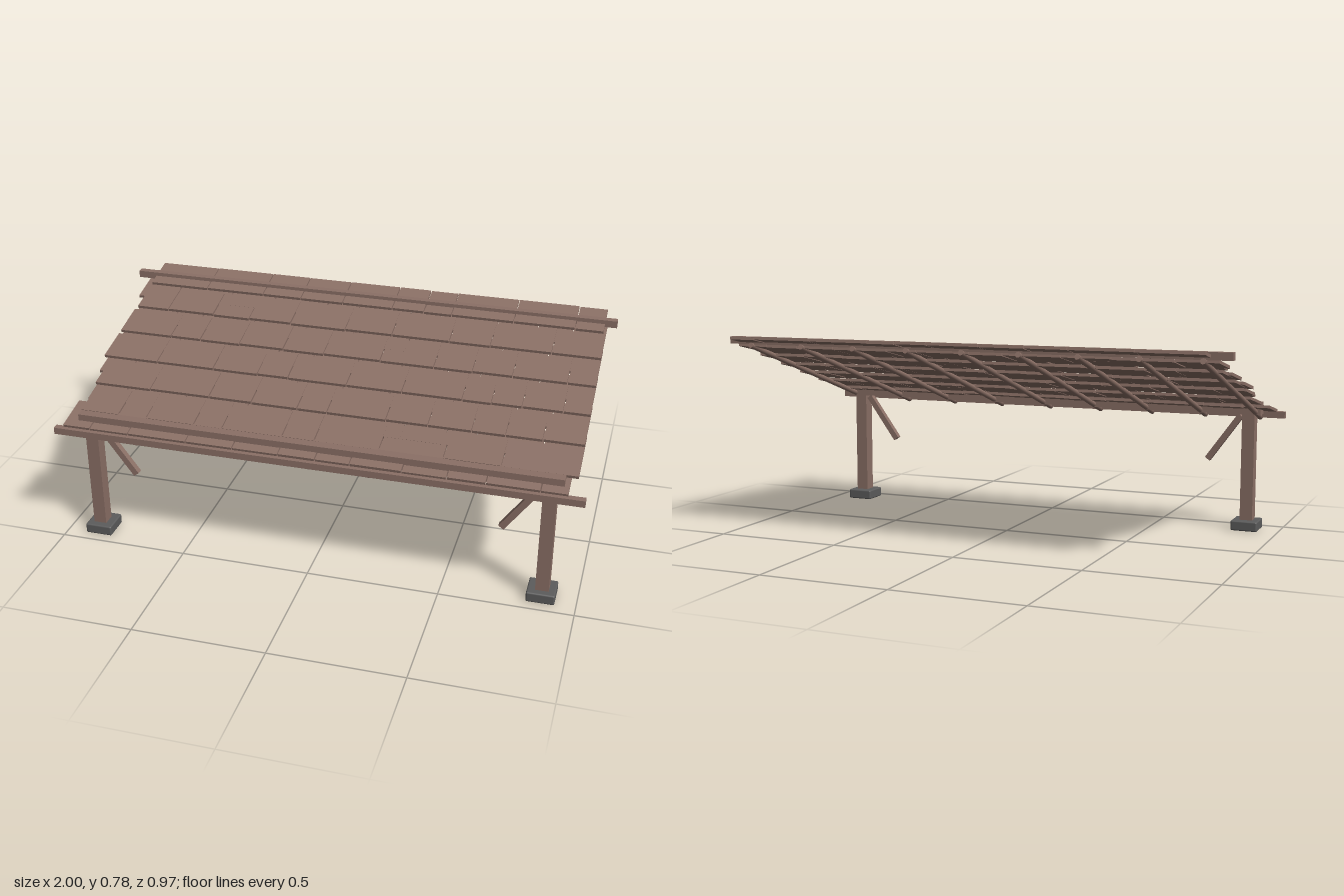
import * as THREE from 'three';
import { RoundedBoxGeometry } from 'three/addons/geometries/RoundedBoxGeometry.js';

export function createModel() {
  const model = new THREE.Group();
  model.name = 'leanToRoof';
  const wood = new THREE.MeshStandardMaterial({ color: 0x8b7066 });
  wood.name = 'weatheredWood';
  const stone = new THREE.MeshStandardMaterial({ color: 0x5c5c5c });
  stone.name = 'darkStone';

  let seed = 11;
  const rand = () => (seed = (seed * 16807) % 2147483647) / 2147483647;

  function add(name, geometry, material, x, y, z, parent = model) {
    const mesh = new THREE.Mesh(geometry, material);
    mesh.name = name;
    mesh.position.set(x, y, z);
    parent.add(mesh);
    return mesh;
  }
  const box = (w, h, d) => new THREE.BoxGeometry(w, h, d);

  // Footings, posts and angled braces, mirrored
  for (const s of [-1, 1]) {
    add('footing', new RoundedBoxGeometry(0.106, 0.04, 0.106, 2, 0.006), stone, s * 0.87, 0.021, 0.408);
    add('post', box(0.05, 0.43, 0.05), wood, s * 0.872, 0.255, 0.41);
    const brace = add('brace', box(0.024, 0.225, 0.024), wood, s * 0.772, 0.368, 0.41);
    brace.rotation.z = s * -0.625;
  }

  // Horizontal beams
  add('postBeam', box(1.84, 0.05, 0.05), wood, 0, 0.49, 0.41);
  add('frontPurlin', box(2, 0.026, 0.026), wood, 0, 0.46, 0.474);
  add('backPurlin', box(2, 0.028, 0.028), wood, 0, 0.76, -0.4);

  // Round rafters running up the slope
  const low = new THREE.Vector3(0, 0.447, 0.475);
  const high = new THREE.Vector3(0, 0.743, -0.425);
  const along = high.clone().sub(low);
  const rafterGeometry = new THREE.CylinderGeometry(0.011, 0.011, along.length(), 10);
  const mid = low.clone().add(high).multiplyScalar(0.5);
  along.normalize();
  for (let i = -4; i <= 4; i++) {
    const rafter = add('rafter', rafterGeometry, wood, i * 0.225, mid.y, mid.z);
    rafter.quaternion.setFromUnitVectors(new THREE.Vector3(0, 1, 0), along);
  }

  // Overlapping rows of shingles, with alternate rows slightly raised
  const lefts = [-0.97, -0.925, -0.93, -0.93, -0.945, -0.955, -0.94, -0.945, -0.93, -0.93, -0.955, -0.925];
  const rights = [0.94, 0.965, 0.965, 0.965, 0.965, 0.965, 0.965, 0.965, 0.965, 0.965, 0.965, 0.955];
  const tilt = 0.207, length = 0.15, thick = 0.011;
  lefts.forEach((left, row) => {
    const group = new THREE.Group();
    group.name = 'shingleRow';
    model.add(group);
    const frontZ = 0.47 - row * 0.0735;
    const topY = 0.642 - 0.318 * frontZ - (row % 2 ? 0 : 0.01);
    const y = topY - thick / 2 + Math.sin(tilt) * length / 2;
    const z = frontZ - Math.cos(tilt) * length / 2;
    let x = left;
    while (x < rights[row] - 0.01) {
      let width = 0.11 + rand() * 0.14;
      if (rights[row] - x - width < 0.08) width = rights[row] - x;
      const shingle = add('shingle', box(width - 0.004, thick, length), wood,
        x + width / 2, y + (rand() - 0.5) * 0.003, z, group);
      shingle.rotation.x = tilt;
      x += width;
    }
  });
  return model;
}
